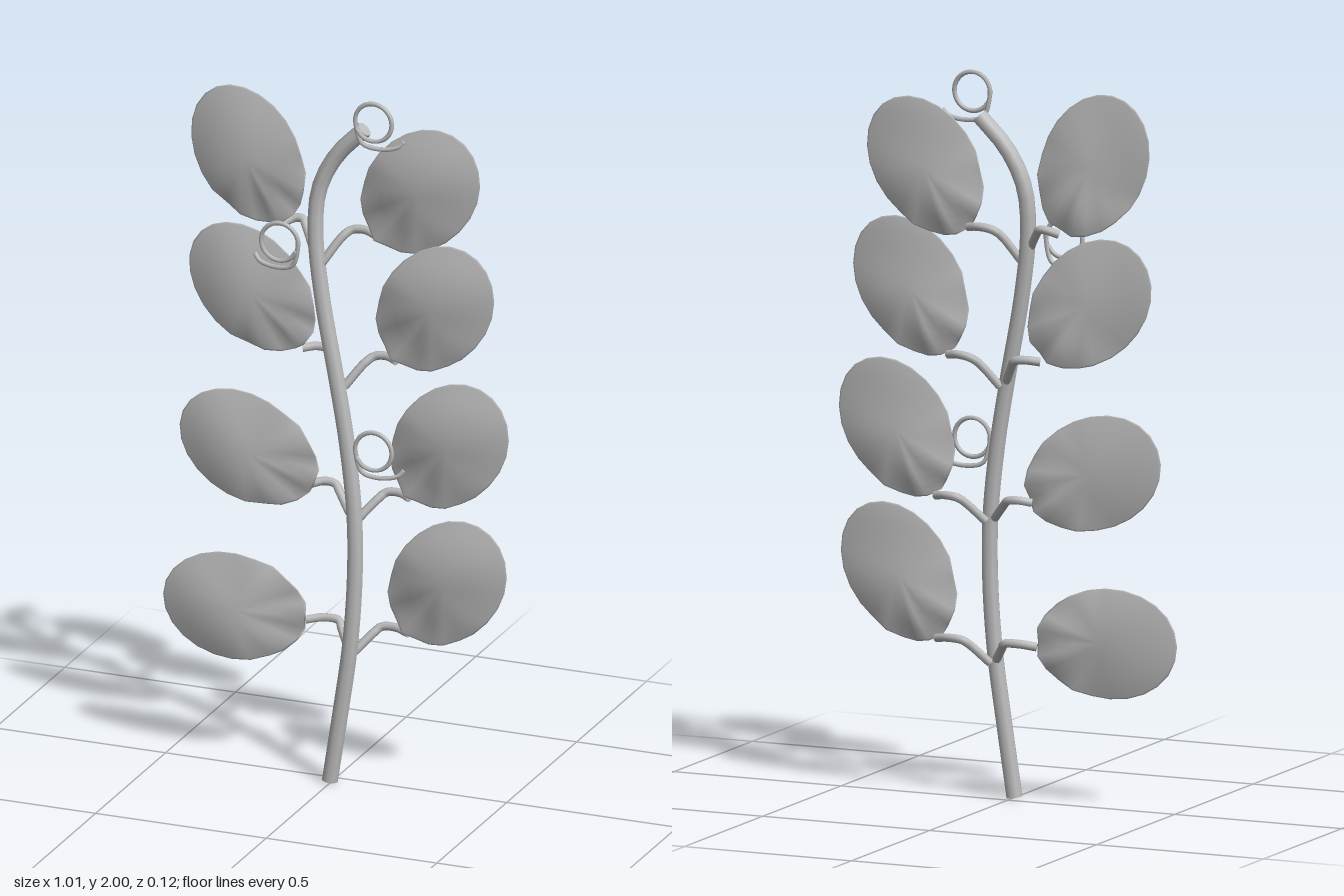
import * as THREE from 'three';
import { mergeVertices } from 'three/addons/utils/BufferGeometryUtils.js';

const grey = new THREE.MeshStandardMaterial({ color: 0xbcbcbc });
grey.name = 'plain grey';

// Capped round tube through a list of points
function tube(name, points, radius, segments, sides = 8) {
  const group = new THREE.Group();
  group.name = name;
  const curve = new THREE.CatmullRomCurve3(points.map((p) => new THREE.Vector3(...p)));
  const add = (geometry) => {
    const mesh = new THREE.Mesh(geometry, grey);
    mesh.name = name;
    group.add(mesh);
    return mesh;
  };
  add(new THREE.TubeGeometry(curve, segments, radius, sides));
  for (const t of [0, 1]) {
    const cap = add(new THREE.CircleGeometry(radius, sides));
    cap.position.copy(curve.getPointAt(t));
    const out = curve.getTangentAt(t).multiplyScalar(t ? 1 : -1);
    cap.quaternion.setFromUnitVectors(new THREE.Vector3(0, 0, 1), out);
  }
  return group;
}

// Thin lens-shaped leaf along +x, puckered near its base at -x
function leafGeometry() {
  const geometry = new THREE.SphereGeometry(1, 24, 14).rotateX(Math.PI / 2);
  geometry.deleteAttribute('uv');
  geometry.deleteAttribute('normal');
  const p = geometry.attributes.position;
  for (let i = 0; i < p.count; i++) {
    const x = p.getX(i), y = p.getY(i), z = p.getZ(i);
    const r2 = Math.min(1, x * x + y * y);
    const nearBase = THREE.MathUtils.smoothstep(-x, 0.15, 0.8);
    const fold = 0.012 * nearBase * Math.cos(Math.atan2(y, -x) * 9) * Math.sqrt(r2);
    const wave = 0.006 * Math.sin(x * 3 + y * 2) * (1 - r2 * 0.5);
    const lens = Math.sign(z) * 0.021 * z * z;
    p.setXYZ(i, x * 0.208, y * 0.153 * (1 + 0.04 * x), lens + fold + wave - 0.014 * nearBase);
  }
  const merged = mergeVertices(geometry, 1e-5);
  merged.computeVertexNormals();
  return merged;
}

export function createModel() {
  const model = new THREE.Group();
  model.name = 'leafySprig';

  model.add(tube('stem', [
    [-0.005, 0.004, 0.032], [0.025, 0.2, 0.032], [0.053, 0.4, 0.031], [0.066, 0.6, 0.028],
    [0.063, 0.78, 0.024], [0.04, 0.98, 0.02], [0.01, 1.15, 0.016], [-0.04, 1.4, 0.006],
    [-0.062, 1.58, -0.003], [-0.053, 1.7, -0.01], [-0.005, 1.8, -0.016], [0.075, 1.885, -0.02],
  ], 0.023, 44));

  // Leaves: centre x, centre y, angle in degrees; stalk: start, bend, end as x, y
  const leaves = [
    [-0.299, 0.455, 178, [0.035, 0.385, -0.01, 0.44, -0.1, 0.435]],
    [-0.258, 0.92, 157, [0.04, 0.775, -0.02, 0.835, -0.085, 0.832]],
    [-0.246, 1.386, 136, [0.005, 1.155, -0.04, 1.222, -0.11, 1.222]],
    [-0.257, 1.77, 117, [-0.065, 1.525, -0.115, 1.59, -0.165, 1.578]],
    [0.322, 0.607, 51, [0.055, 0.375, 0.115, 0.44, 0.2, 0.437]],
    [0.328, 1.005, 51, [0.068, 0.765, 0.13, 0.832, 0.203, 0.83]],
    [0.286, 1.398, 52, [0.025, 1.14, 0.095, 1.222, 0.165, 1.222]],
    [0.243, 1.732, 50, [-0.04, 1.49, 0.03, 1.58, 0.105, 1.578]],
  ];
  const geometry = leafGeometry();
  for (const [x, y, degrees, s] of leaves) {
    const leaf = new THREE.Mesh(geometry, grey);
    leaf.name = 'leaf';
    leaf.position.set(x, y, 0);
    leaf.rotation.z = THREE.MathUtils.degToRad(degrees);
    model.add(leaf);
    model.add(tube('leafStalk', [
      [s[0], s[1], 0.002],
      [s[2] * 0.7 + s[0] * 0.3, s[3] - 0.016, -0.03],
      [s[2], s[3], -0.044],
      [(s[2] + s[4]) / 2, (s[3] + s[5]) / 2 + 0.005, -0.044],
      [s[4], s[5], -0.028],
    ], 0.012, 14));
  }

  // Curling tendrils: ring centre x, y and the side the tail points to
  for (const [x, y, side] of [[0.13, 1.937, 1], [0.13, 0.983, 1], [-0.145, 1.552, -1]]) {
    const points = [
      [x + side * 0.08, y - 0.052, 0.03],
      [x + side * 0.065, y - 0.068, 0.036],
      [x + side * 0.015, y - 0.078, 0.042],
      [x - side * 0.035, y - 0.066, 0.046],
    ];
    // Ring turning once around its centre
    for (let i = 0; i <= 12; i++) {
      const a = Math.PI * 1.08 - (i / 12) * Math.PI * 1.95;
      points.push([x + side * 0.054 * Math.cos(a), y + 0.054 * Math.sin(a), 0.049 + 0.004 * i / 12]);
    }
    model.add(tube('tendril', points, 0.0065, 48, 6));
  }
  return model;
}
